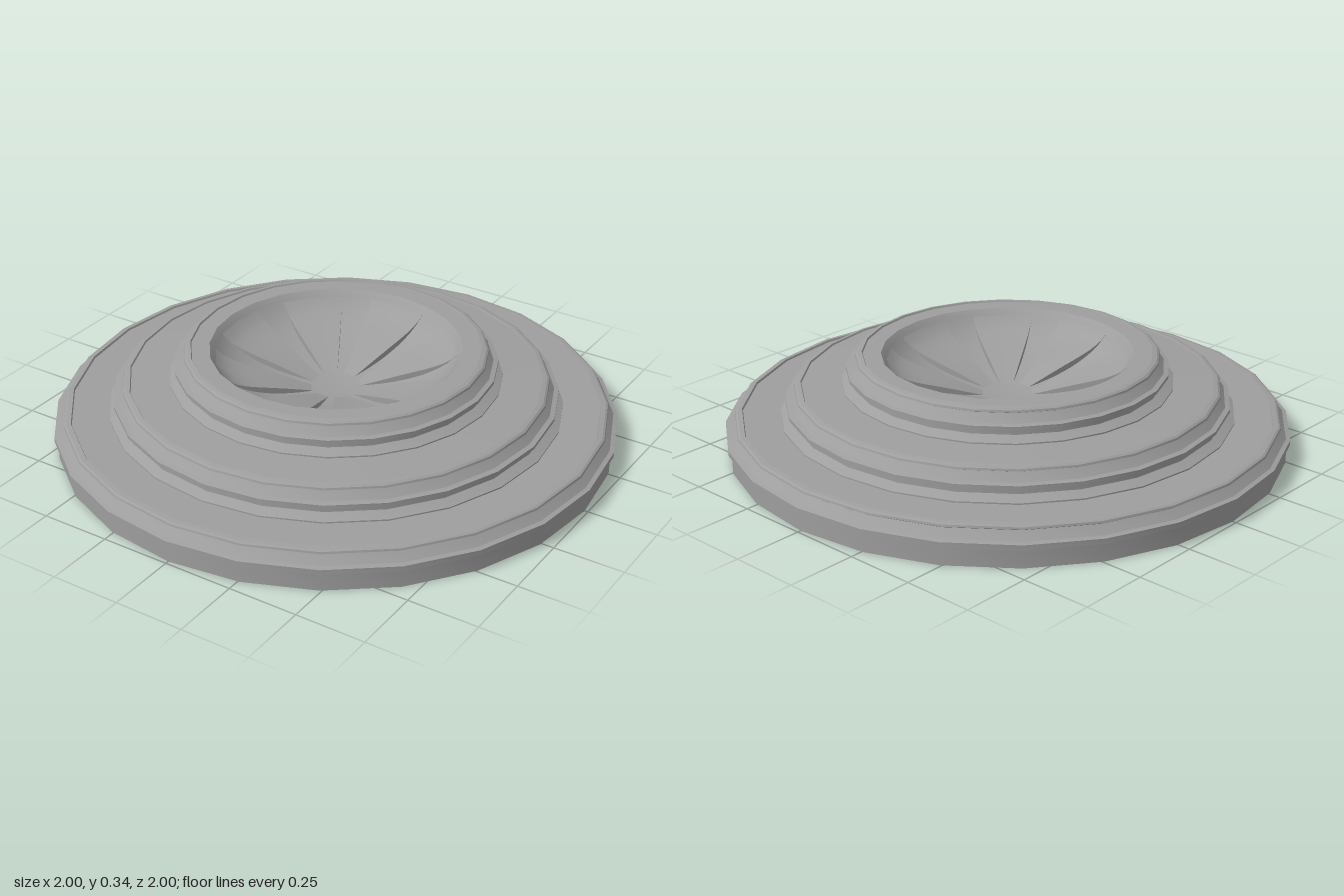
import * as THREE from 'three';
import { toCreasedNormals } from 'three/addons/utils/BufferGeometryUtils.js';

const SIDES = 24;
const material = new THREE.MeshStandardMaterial({ color: 0x9e9e9e });

// Height of the rounded dish floor at radius r
const dishY = (r) => 0.175 + 0.195 * (1 - Math.sqrt(1 - (r / 0.445) ** 2));

function addPart(parent, name, geometry) {
  const mesh = new THREE.Mesh(toCreasedNormals(geometry, 0.4), material);
  mesh.name = name;
  parent.add(mesh);
  return mesh;
}

// Moulded edge of an upper tier: flared foot, lip, sloped shoulder, rounded top band
const tierEdge = (r, y) => [
  [r + 0.025, y], [r + 0.025, y + 0.005], [r - 0.008, y + 0.022], [r - 0.008, y + 0.04],
  [r + 0.007, y + 0.044], [r + 0.007, y + 0.056], [r - 0.01, y + 0.06],
  [r - 0.034, y + 0.088], [r - 0.026, y + 0.092], [r - 0.028, y + 0.099],
  [r - 0.035, y + 0.104], [r - 0.05, y + 0.107], [r - 0.053, y + 0.101],
];

// Raised petal over the dish floor, swept from the hub to the rim
function petalGeometry() {
  const rows = 14, half = Math.PI / SIDES * 2;
  const section = [[-half, 0], [-half, 1], [0, 1], [half, 1], [half, 0]];
  const positions = [], index = [];
  for (let i = 0; i <= rows; i++) {
    const t = i / rows;
    const r = 0.08 + 0.35 * t;
    const lift = 0.024 * Math.sin(Math.PI * t);
    for (const [angle, up] of section) {
      positions.push(r * Math.sin(angle), dishY(r) - 0.002 + up * lift, r * Math.cos(angle));
    }
  }
  const n = section.length;
  for (let i = 0; i < rows; i++) {
    for (let j = 0; j < n - 1; j++) {
      const a = i * n + j, b = a + 1, c = a + n, d = c + 1;
      index.push(a, c, b, b, c, d);
    }
  }
  const geometry = new THREE.BufferGeometry();
  geometry.setAttribute('position', new THREE.Float32BufferAttribute(positions, 3));
  geometry.setIndex(index);
  return geometry;
}

export function createModel() {
  const group = new THREE.Group();
  group.name = 'steppedPedestal';

  // Three stepped tiers and the dish floor, turned as one profile
  const profile = [
    [0, 0], [0.988, 0], [0.988, 0.066], [1, 0.068], [1, 0.086], [0.985, 0.09],
    [0.96, 0.118], [0.966, 0.122], [0.964, 0.129], [0.957, 0.133], [0.94, 0.135], [0.937, 0.128],
    ...tierEdge(0.78, 0.128),
    ...tierEdge(0.562, 0.236), [0.445, 0.337], [0.43, dishY(0.43)],
  ];
  for (let i = 14; i >= 0; i--) {
    const r = 0.03 * i;
    profile.push([r, dishY(r)]);
  }
  const points = profile.map(([r, y]) => new THREE.Vector2(r, y));
  addPart(group, 'tieredBase', new THREE.LatheGeometry(points, SIDES));

  // Eight petals separated by narrow flutes
  for (let i = 0; i < 8; i++) {
    addPart(group, 'dishPetal' + (i + 1), petalGeometry()).rotation.y = i * Math.PI / 4;
  }
  return group;
}
